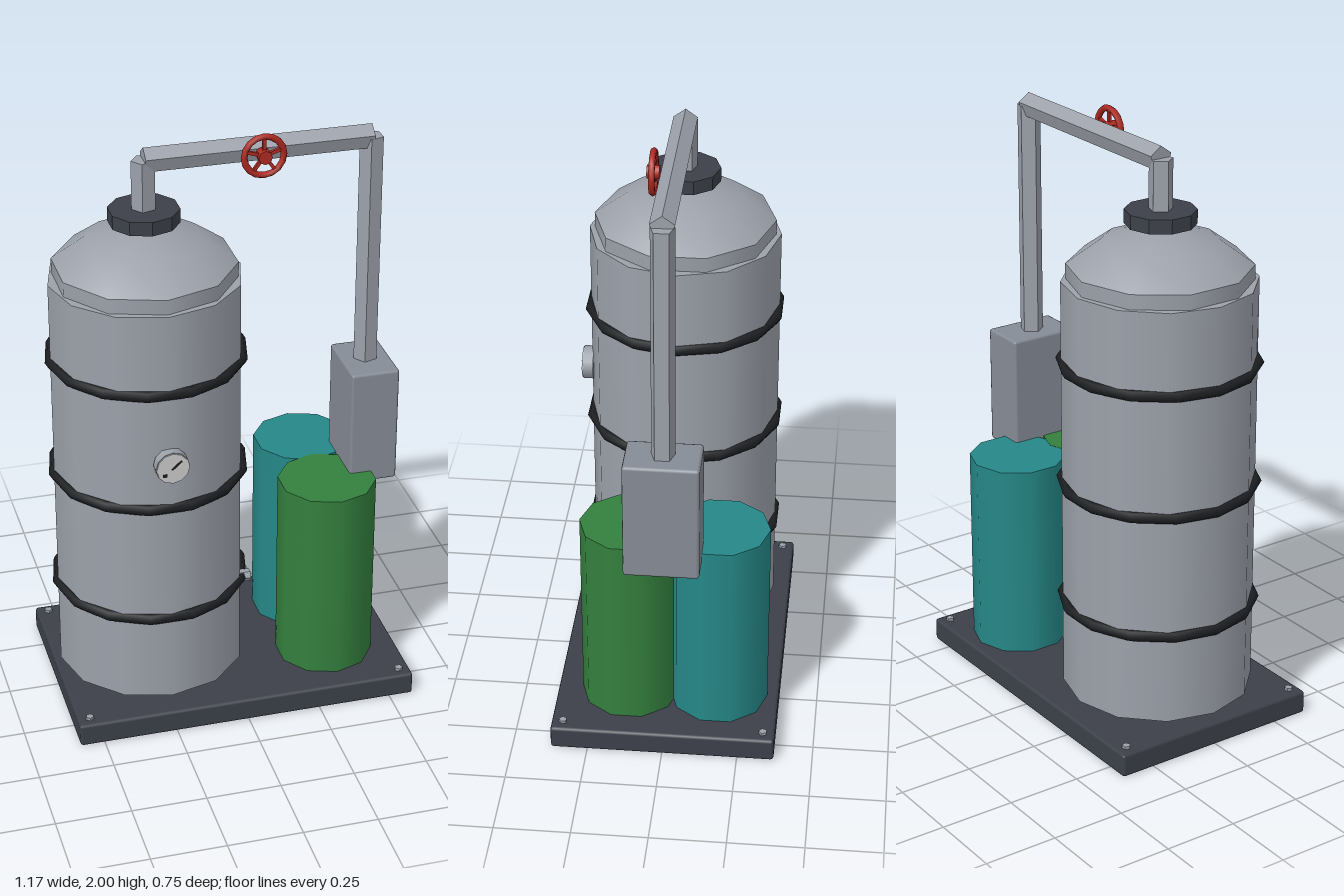
import * as THREE from 'three';
import { RoundedBoxGeometry } from 'three/addons/geometries/RoundedBoxGeometry.js';

const mat = (color, flatShading = false) => new THREE.MeshStandardMaterial({ color, flatShading });
const steel = mat(0x9ca1aa);
const steelFlat = mat(0x9ca1aa, true);
const boxGrey = mat(0x868c96);
const dark = mat(0x3c4049);
const darkFlat = mat(0x3c4049, true);
const black = mat(0x1c1e21);
const green = mat(0x34803e);
const teal = mat(0x268888);
const red = mat(0xb02a22);
const white = mat(0xdddddd);

export function createModel() {
  const model = new THREE.Group();

  function add(name, geometry, material, x, y, z, parent = model) {
    const mesh = new THREE.Mesh(geometry, material);
    mesh.name = name;
    mesh.position.set(x, y, z);
    parent.add(mesh);
    return mesh;
  }
  const cyl = (r, h, sides, start = 0) =>
    new THREE.CylinderGeometry(r, r, h, sides, 1, false, start);

  // Base plate with a bolt in each corner
  add('basePlate', new RoundedBoxGeometry(1.165, 0.08, 0.745, 1, 0.01), dark, 0, 0.04, 0);
  for (const sx of [-1, 1]) {
    for (const sz of [-1, 1]) {
      add('baseBolt', cyl(0.014, 0.012, 5), steelFlat, sx * 0.542, 0.084, sz * 0.334);
    }
  }

  // Main tank: body, domed lid, hoops, neck flange
  const tank = new THREE.Group();
  tank.name = 'tank';
  tank.position.x = -0.25;
  model.add(tank);
  add('tankBody', cyl(0.317, 1.42, 12), steel, 0, 0.82, 0, tank);
  add('lidRim', cyl(0.3, 0.06, 10), steel, 0, 1.55, 0, tank);
  const domeProfile = [[0.3, 1.58], [0.19, 1.66], [0.06, 1.688], [0, 1.69]]
    .map(([r, y]) => new THREE.Vector2(r, y));
  add('lidDome', new THREE.LatheGeometry(domeProfile, 10), steel, 0, 0, 0, tank);
  for (const y of [0.42, 0.84, 1.255]) {
    const hoop = add('hoop', new THREE.TorusGeometry(0.317, 0.018, 6, 14), black, 0, y, 0, tank);
    hoop.rotation.x = Math.PI / 2;
  }
  add('neckFlange', cyl(0.116, 0.047, 10), darkFlat, 0, 1.738, 0, tank);

  // Drain tap low on the tank side
  const tap = add('drainTap', cyl(0.021, 0.07, 6), steelFlat, 0.282, 0.42, 0.13, tank);
  tap.rotation.z = Math.PI / 2;

  // Pressure gauge on the tank front
  const gauge = new THREE.Group();
  gauge.name = 'gauge';
  gauge.position.set(0, 1.007, 0.31);
  tank.add(gauge);
  add('gaugeCase', cyl(0.056, 0.035, 12), steel, 0, 0, 0.0175, gauge).rotation.x = Math.PI / 2;
  add('gaugeFace', cyl(0.053, 0.006, 12), white, 0, 0, 0.035, gauge).rotation.x = Math.PI / 2;
  const needle = add('gaugeNeedle', new THREE.BoxGeometry(0.042, 0.006, 0.003), black, 0.012, 0.01, 0.039, gauge);
  needle.rotation.z = 0.72;
  add('gaugeMark', new THREE.BoxGeometry(0.014, 0.01, 0.003), black, -0.027, -0.023, 0.039, gauge);

  // Five-sided pipe from the lid, across and down to the control box
  const side = -Math.PI / 2;
  add('riserPipe', cyl(0.04, 0.245, 5, side), steelFlat, -0.25, 1.8025, 0);
  add('downPipe', cyl(0.04, 0.815, 5, side), steelFlat, 0.5, 1.5175, 0);
  add('crossPipe', cyl(0.041, 0.75, 5, -side), steelFlat, 0.125, 1.925, 0).rotation.z = Math.PI / 2;

  // Valve handwheel in front of the cross pipe
  const wheel = new THREE.Group();
  wheel.name = 'handwheel';
  wheel.position.set(0.124, 1.923, 0.065);
  model.add(wheel);
  add('wheelRim', new THREE.TorusGeometry(0.065, 0.011, 6, 16), red, 0, 0, 0, wheel);
  add('wheelHub', cyl(0.023, 0.04, 8), red, 0, 0, 0, wheel).rotation.x = Math.PI / 2;
  for (let i = 0; i < 5; i++) {
    const a = Math.PI / 2 + (i / 5) * Math.PI * 2;
    const spoke = add('wheelSpoke', new THREE.BoxGeometry(0.06, 0.011, 0.011), red,
      Math.cos(a) * 0.035, Math.sin(a) * 0.035, 0, wheel);
    spoke.rotation.z = a;
  }

  // Control box at the end of the pipe
  add('controlBox', new RoundedBoxGeometry(0.165, 0.41, 0.245, 1, 0.01), boxGrey, 0.5, 0.923, 0);

  // Two coloured canisters beside the tank
  add('greenCanister', cyl(0.165, 0.68, 10), green, 0.335, 0.417, 0.127);
  add('tealCanister', cyl(0.165, 0.68, 10), teal, 0.335, 0.416, -0.17);

  return model;
}
